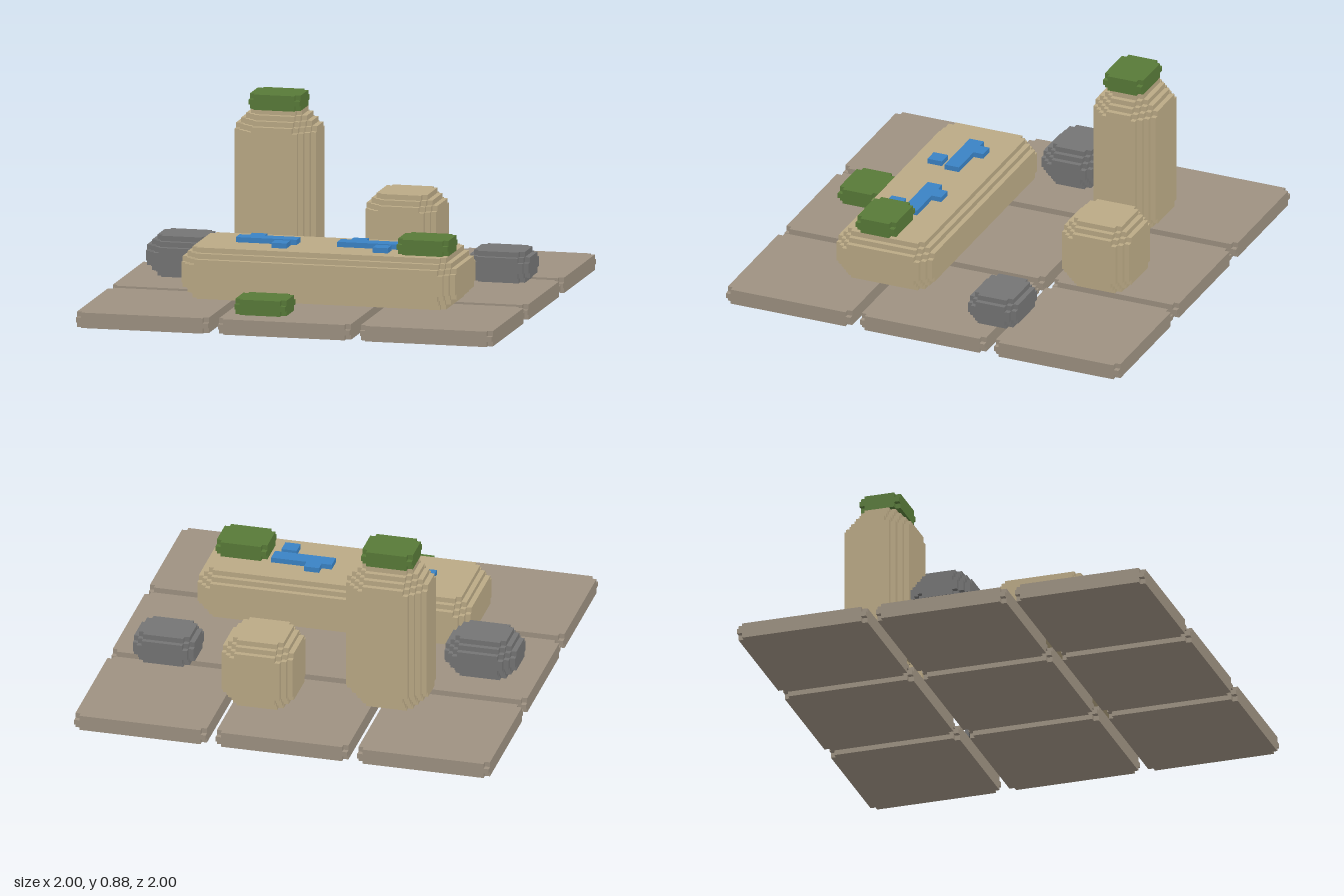
import * as THREE from 'three';
import { mergeGeometries } from 'three/addons/utils/BufferGeometryUtils.js';

// All positions are whole cells; the base is 82 cells wide.
const CELL = 1 / 41;

const mat = (name, color) => {
  const m = new THREE.MeshStandardMaterial({ color });
  m.name = name;
  return m;
};

// Outline of a layer that lies k cells from the block's bottom or top.
function layerShape(w, d, n, k) {
  const inset = Math.max(0, n - k);
  const start = j => Math.max(inset, n - j, 2 * n + 1 - k - j);
  const corner = [];
  let j = inset;
  for (; start(j) > inset; j++) corner.push([start(j), j], [start(j), j + 1]);
  if (!corner.length) corner.push([inset, j]);
  else corner.push([inset, j]);
  const points = [];
  for (const [sx, sy] of [[-1, -1], [-1, 1], [1, 1], [1, -1]]) {
    const list = sx === sy ? corner : [...corner].reverse();
    for (const [i, q] of list) points.push(new THREE.Vector2(sx * (w / 2 - i), sy * (d / 2 - q)));
  }
  return new THREE.Shape(points);
}

// Block with stepped edges: n steps along edges, with the corners cut further.
function steppedBlock([x0, x1], [y0, y1], [z0, z1], n) {
  const h = y1 - y0;
  const layers = [];
  for (let k = 0; k <= n; k++) layers.push([k, k, 1], [k, h - k - 1, 1]);
  layers.push([n + 1, n + 1, h - 2 * (n + 1)]);
  const geometries = layers.map(([k, y, depth]) =>
    new THREE.ExtrudeGeometry(layerShape(x1 - x0, z1 - z0, n, k), { depth, bevelEnabled: false })
      .rotateX(-Math.PI / 2)
      .translate(0, y, 0));
  return mergeGeometries(geometries)
    .translate((x0 + x1) / 2, y0, (z0 + z1) / 2)
    .scale(CELL, CELL, CELL);
}

function plainBlock([x0, x1], [y0, y1], [z0, z1]) {
  return new THREE.BoxGeometry(x1 - x0, y1 - y0, z1 - z0)
    .translate((x0 + x1) / 2, (y0 + y1) / 2, (z0 + z1) / 2)
    .scale(CELL, CELL, CELL);
}

export function createModel() {
  const model = new THREE.Group();
  model.name = 'ruinDiorama';

  const paving = mat('paving', 0x9d9181);
  const sandstone = mat('sandstone', 0xbaa985);
  const rock = mat('rock', 0x747474);
  const moss = mat('moss', 0x587a38);
  const blue = mat('blueInlay', 0x3a82c4);

  const add = (name, geometry, material) => {
    const mesh = new THREE.Mesh(geometry, material);
    mesh.name = name;
    model.add(mesh);
  };

  // Three by three paving slabs with open joints
  for (const x of [-41, -13, 15])
    for (const z of [-41, -13, 15])
      add('pavingSlab', steppedBlock([x, x + 26], [0, 3], [z, z + 26], 0), paving);

  // Sandstone blocks
  add('fallenPillar', steppedBlock([-25, 29], [3, 13], [4, 24], 2), sandstone);
  add('standingPillar', steppedBlock([-24, -8], [3, 33], [-26, -13], 3), sandstone);
  add('stoneCube', steppedBlock([1, 15], [3, 17], [-31, -17], 2), sandstone);

  // Loose rocks
  add('largeRock', steppedBlock([-37, -23], [3, 11], [-8, 4], 2), rock);
  add('smallRock', steppedBlock([24, 36], [3, 9], [-17, -7], 1), rock);

  // Moss patches on the standing pillar, the fallen pillar and the ground
  for (const [x, y, z] of [[-21, 33, -23], [17, 13, 12], [-11, 3, 28]])
    add('mossPatch', steppedBlock([x, x + 10], [y, y + 3], [z, z + 8], 0), moss);

  // Raised blue signs on the fallen pillar
  for (const x of [-16, 4]) {
    add('inlayBar', plainBlock([x, x + 12], [13, 14], [12, 15]), blue);
    add('inlayTab', plainBlock([x + 2, x + 5], [13, 14], [10, 12]), blue);
    add('inlayDot', plainBlock([x + 8, x + 11], [13, 14], [16, 19]), blue);
  }

  return model;
}
